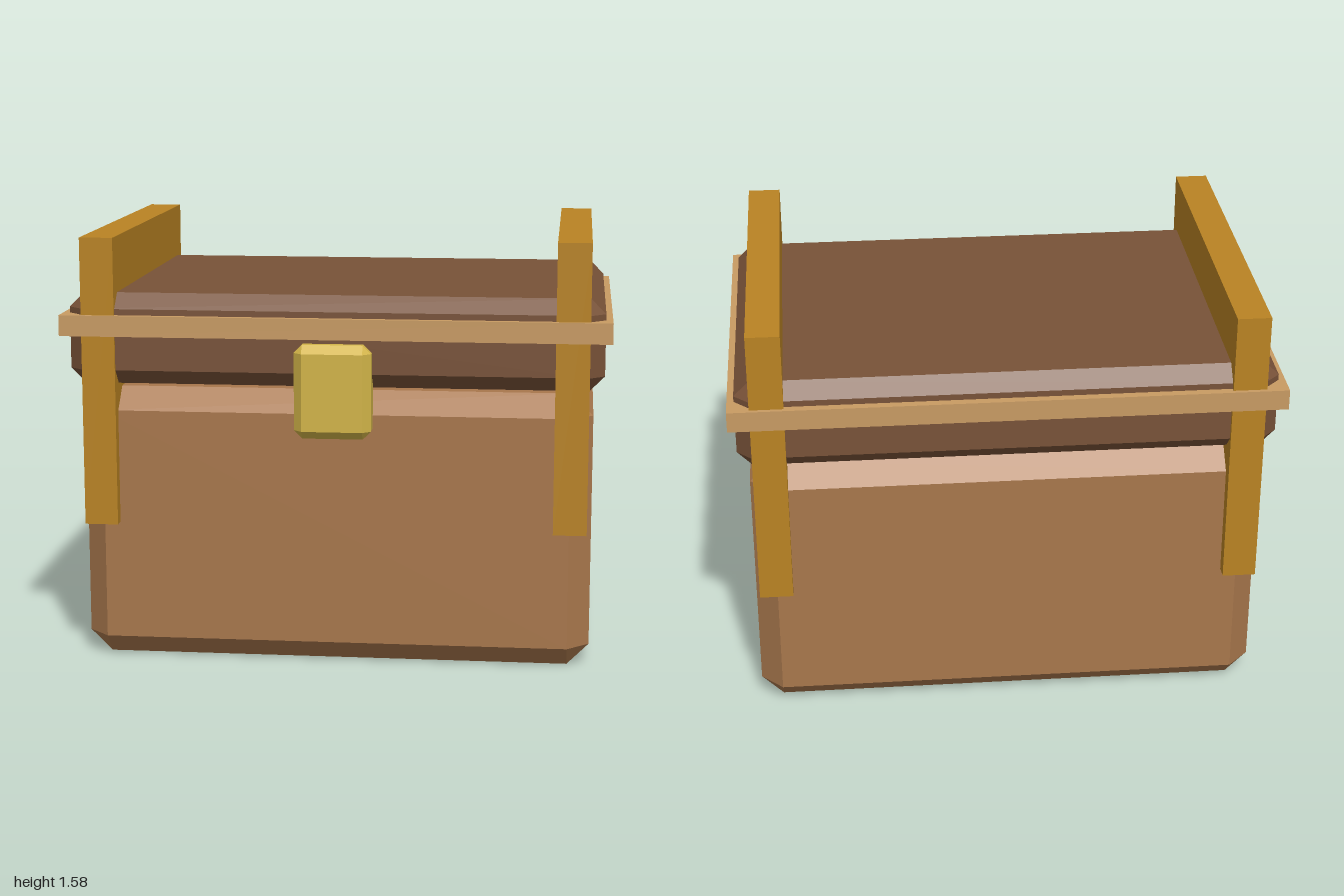
import * as THREE from 'three';
import { ConvexGeometry } from 'three/addons/geometries/ConvexGeometry.js';

const makeMaterial = (name, color) => {
  const m = new THREE.MeshStandardMaterial({ color });
  m.name = name;
  return m;
};

// Box with every edge and corner cut by the bevel; min and max are opposite corners.
function bevelledBox(min, max, bevel) {
  const half = max.map((v, i) => (v - min[i]) / 2);
  const centre = max.map((v, i) => (v + min[i]) / 2);
  const points = [];
  for (const sx of [-1, 1]) for (const sy of [-1, 1]) for (const sz of [-1, 1]) {
    const sign = [sx, sy, sz];
    for (let face = 0; face < 3; face++) {
      points.push(new THREE.Vector3(...sign.map((s, i) =>
        centre[i] + s * (half[i] - (i === face ? 0 : bevel)))));
    }
  }
  return new ConvexGeometry(points);
}

function plainBox(min, max) {
  const size = max.map((v, i) => v - min[i]);
  const centre = max.map((v, i) => (v + min[i]) / 2);
  return new THREE.BoxGeometry(...size).translate(...centre);
}

export function createModel() {
  const model = new THREE.Group();
  model.name = 'chest';
  const bodyBrown = makeMaterial('body brown', 0xa8774c);
  const lidBrown = makeMaterial('lid brown', 0x785238);
  const rimTan = makeMaterial('rim tan', 0xc89b63);
  const strapGold = makeMaterial('strap gold', 0xb98323);
  const latchYellow = makeMaterial('latch yellow', 0xd2b448);

  const add = (name, geometry, material) => {
    const mesh = new THREE.Mesh(geometry, material);
    mesh.name = name;
    model.add(mesh);
  };

  // Body and lid, with a narrow gap between them
  add('body', bevelledBox([-0.937, 0, -0.638], [0.937, 1.02, 0.61], 0.08), bodyBrown);
  add('lid', bevelledBox([-0.975, 1.04, -0.672], [0.975, 1.375, 0.645], 0.055), lidBrown);

  // Flat band around the lid
  add('rim', plainBox([-1, 1.222, -0.703], [1, 1.298, 0.67]), rimTan);

  // Upright panels passing through both ends
  for (const [name, x] of [['leftStrap', 0.86], ['rightStrap', -0.86]]) {
    add(name, plainBox([x - 0.061, 0.52, -0.688], [x + 0.061, 1.58, 0.655]), strapGold);
  }

  // Front latch
  add('latch', bevelledBox([-0.14, 0.862, 0.56], [0.14, 1.205, 0.703], 0.03), latchYellow);

  return model;
}
